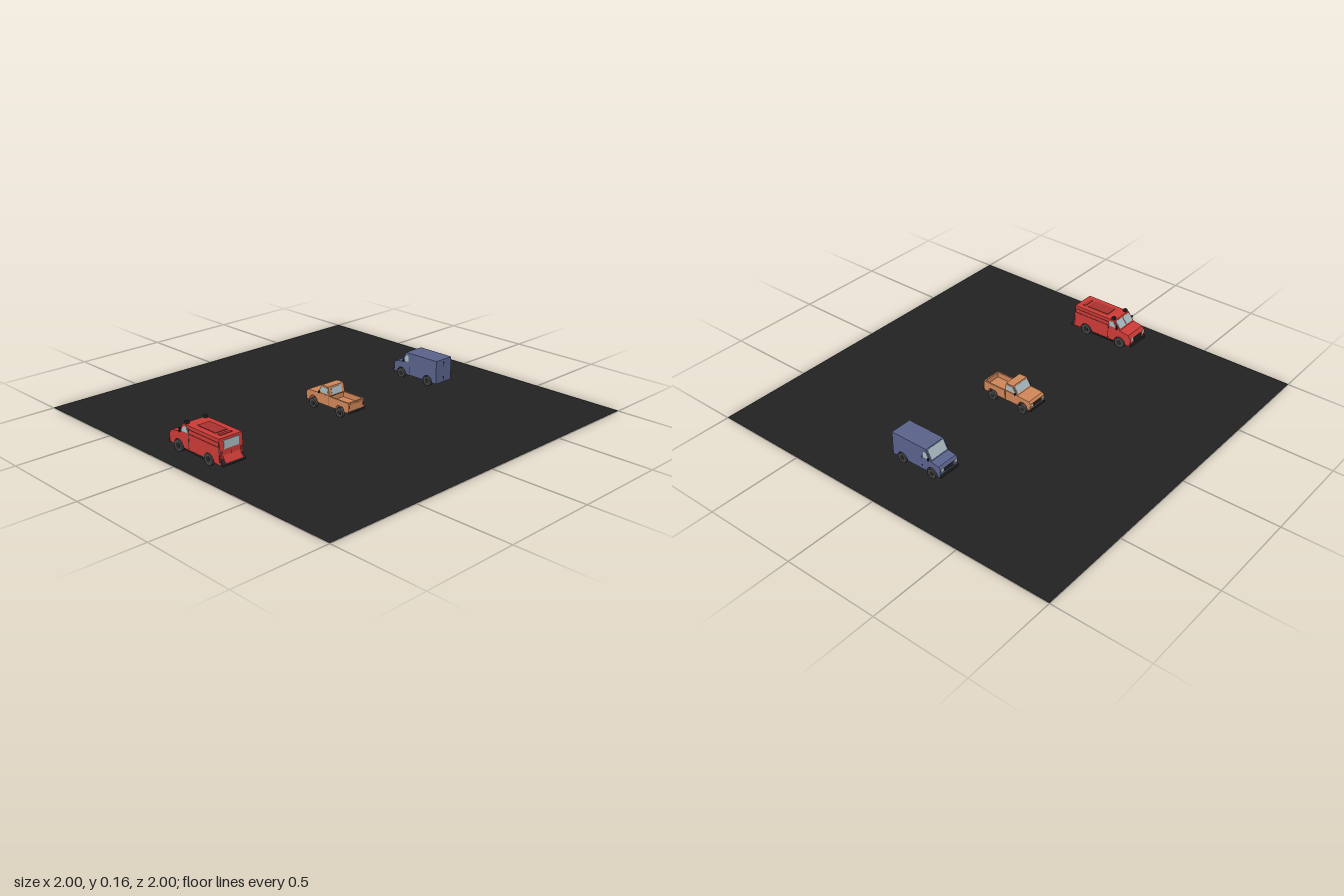
import * as THREE from 'three';

const mat = (name, color, side = THREE.FrontSide) => {
  const m = new THREE.MeshStandardMaterial({ color, side });
  m.name = name;
  return m;
};

export function createModel() {
  const M = {
    ground: mat('asphalt', 0x222222, THREE.DoubleSide),
    red: mat('van red', 0xcb3a36),
    darkRed: mat('dark red', 0xa8322f),
    orange: mat('pickup orange', 0xcf8658),
    darkOrange: mat('dark orange', 0x8f5a3b),
    blue: mat('van blue', 0x59628b),
    glass: mat('glass', 0xa9bcc2, THREE.DoubleSide),
    trim: mat('black trim', 0x262628),
    tyre: mat('tyre', 0x444444),
    lamp: mat('headlight', 0xd8d8d0),
  };
  const model = new THREE.Group();
  model.name = 'parkedVehicles';

  const add = (parent, name, geo, material, x = 0, y = 0, z = 0) => {
    const m = new THREE.Mesh(geo, material);
    m.name = name;
    m.position.set(x, y, z);
    parent.add(m);
    return m;
  };
  const box = (p, name, material, w, h, d, x, y, z) =>
    add(p, name, new THREE.BoxGeometry(w, h, d), material, x, y, z);

  // Side profile extruded across the vehicle
  const extrude = (p, name, material, pts, width, z = 0, arches = []) => {
    const s = new THREE.Shape();
    s.moveTo(...pts[0]);
    pts.slice(1).forEach(q => s.lineTo(...q));
    // wheel arches cut along the lower edge, which runs from rear to front
    arches.forEach(([x, y, r]) => {
      s.lineTo(x + r, y);
      s.absarc(x, y, r, 0, Math.PI, false);
    });
    s.closePath();
    const g = new THREE.ExtrudeGeometry(s, { depth: width, bevelEnabled: false, curveSegments: 8 });
    g.translate(0, 0, -width / 2);
    return add(p, name, g, material, 0, 0, z);
  };

  // Thin pane lying on the slope from a to b
  const pane = (p, name, a, b, width, z = 0) => {
    const dx = b[0] - a[0], dy = b[1] - a[1];
    const m = box(p, name, M.glass, Math.hypot(dx, dy), 0.003, width,
      (a[0] + b[0]) / 2, (a[1] + b[1]) / 2, z);
    m.rotation.z = Math.atan2(dy, dx);
  };

  const wheels = (p, xs, r, half) => {
    for (const x of xs) {
      box(p, 'axle', M.trim, 0.01, 0.01, half * 1.8, x, r, 0);
      for (const s of [-1, 1]) {
        const tyre = new THREE.CylinderGeometry(r, r, 0.018, 14).rotateX(Math.PI / 2);
        add(p, 'wheel', tyre, M.tyre, x, r, s * (half - 0.009));
        const hub = new THREE.CylinderGeometry(r * 0.5, r * 0.5, 0.002, 10).rotateX(Math.PI / 2);
        add(p, 'hubcap', hub, M.trim, x, r, s * half);
      }
    }
  };

  const vehicle = (name, z) => {
    const g = new THREE.Group();
    g.name = name;
    g.position.z = z;
    model.add(g);
    return g;
  };

  add(model, 'ground', new THREE.PlaneGeometry(2, 2).rotateX(-Math.PI / 2), M.ground, 0, 0.002, 0);

  // Red rescue van
  const red = vehicle('redVan', 0.81);
  extrude(red, 'body', M.red, [
    [-0.19, 0.03], [-0.195, 0.07], [-0.178, 0.092], [-0.122, 0.102], [-0.085, 0.149],
    [0.172, 0.149], [0.176, 0.1], [0.176, 0.022],
  ], 0.132, 0, [[0.095, 0.024, 0.036], [-0.125, 0.026, 0.036]]);
  box(red, 'underbody', M.trim, 0.32, 0.02, 0.09, -0.01, 0.035, 0);
  wheels(red, [-0.125, 0.095], 0.03, 0.071);
  box(red, 'roofPanel', M.darkRed, 0.13, 0.004, 0.07, 0.045, 0.15, 0);
  box(red, 'roofHatch', M.darkRed, 0.018, 0.004, 0.07, 0.135, 0.15, 0);
  box(red, 'grille', M.trim, 0.005, 0.026, 0.06, -0.195, 0.06, 0);
  box(red, 'frontBumper', M.trim, 0.012, 0.014, 0.134, -0.194, 0.034, 0);
  box(red, 'rearWindow', M.glass, 0.004, 0.042, 0.086, 0.175, 0.117, 0);
  box(red, 'doorSeam', M.trim, 0.002, 0.05, 0.002, 0.177, 0.06, 0);
  extrude(red, 'rearStep', M.trim, [[0.175, 0.055], [0.175, 0.022], [0.196, 0.022], [0.196, 0.03]], 0.13);
  extrude(red, 'rearStepPanel', M.red, [[0.175, 0.07], [0.175, 0.036], [0.194, 0.036]], 0.1);
  for (const s of [-1, 1]) {
    pane(red, 'windshield', [-0.118, 0.108], [-0.09, 0.144], 0.056, s * 0.031);
    extrude(red, 'sideWindow', M.glass, [[-0.101, 0.11], [-0.057, 0.11], [-0.057, 0.14], [-0.08, 0.14]],
      0.003, s * 0.066);
    box(red, 'headlight', M.lamp, 0.016, 0.018, 0.018, -0.188, 0.068, s * 0.052);
    box(red, 'roofLight', M.trim, 0.017, 0.014, 0.017, -0.073, 0.156, s * 0.053);
    box(red, 'tailLight', M.darkRed, 0.004, 0.02, 0.012, 0.177, 0.075, s * 0.057);
    box(red, 'mirror', M.trim, 0.006, 0.02, 0.012, -0.105, 0.115, s * 0.071);
    for (const y of [0.108, 0.13])
      box(red, 'sideRail', M.darkRed, 0.215, 0.003, 0.003, 0.062, y, s * 0.0665);
    for (const x of [-0.048, 0.17])
      box(red, 'sideSeam', M.trim, 0.002, 0.1, 0.002, x, 0.085, s * 0.066);
    box(red, 'sill', M.trim, 0.14, 0.008, 0.004, -0.013, 0.024, s * 0.066);
  }

  // Orange pickup with an open bed
  const orange = vehicle('orangePickup', 0);
  extrude(orange, 'body', M.orange, [
    [-0.148, 0.035], [-0.15, 0.075], [-0.14, 0.086], [-0.066, 0.09], [0.012, 0.09],
    [0.012, 0.06], [0.148, 0.06], [0.148, 0.035],
  ], 0.11, 0, [[0.09, 0.035, 0.029], [-0.1, 0.035, 0.029]]);
  extrude(orange, 'cab', M.orange, [
    [-0.068, 0.088], [-0.04, 0.135], [0.005, 0.135], [0.015, 0.088],
  ], 0.106);
  pane(orange, 'windshield', [-0.064, 0.096], [-0.043, 0.131], 0.096);
  pane(orange, 'rearWindow', [0.014, 0.092], [0.007, 0.128], 0.07);
  box(orange, 'cabGap', M.darkOrange, 0.008, 0.003, 0.104, 0.014, 0.088, 0);
  box(orange, 'tailgate', M.orange, 0.008, 0.035, 0.11, 0.145, 0.07, 0);
  box(orange, 'tailgateSeam', M.darkOrange, 0.002, 0.003, 0.1, 0.149, 0.08, 0);
  box(orange, 'rearBumper', M.trim, 0.006, 0.01, 0.112, 0.149, 0.037, 0);
  box(orange, 'frontBumper', M.trim, 0.008, 0.012, 0.112, -0.15, 0.038, 0);
  box(orange, 'grille', M.trim, 0.004, 0.02, 0.06, -0.15, 0.062, 0);
  box(orange, 'underbody', M.trim, 0.27, 0.012, 0.08, 0, 0.034, 0);
  wheels(orange, [-0.1, 0.09], 0.025, 0.06);
  for (const s of [-1, 1]) {
    box(orange, 'bedSide', M.orange, 0.134, 0.03, 0.008, 0.081, 0.073, s * 0.051);
    extrude(orange, 'sideWindow', M.glass, [[-0.056, 0.097], [-0.037, 0.128], [0, 0.128], [0.005, 0.097]],
      0.003, s * 0.053);
    box(orange, 'headlight', M.lamp, 0.005, 0.016, 0.016, -0.15, 0.064, s * 0.044);
    box(orange, 'tailLight', M.darkRed, 0.003, 0.016, 0.008, 0.149, 0.065, s * 0.049);
    box(orange, 'doorSeam', M.darkOrange, 0.002, 0.05, 0.002, 0.01, 0.064, s * 0.055);
    box(orange, 'mirror', M.trim, 0.006, 0.01, 0.01, -0.055, 0.096, s * 0.058);
  }

  // Blue delivery van
  const blue = vehicle('blueVan', -0.65);
  extrude(blue, 'body', M.blue, [
    [-0.145, 0.025], [-0.148, 0.07], [-0.138, 0.084], [-0.092, 0.092], [-0.064, 0.148],
    [0.15, 0.148], [0.15, 0.022],
  ], 0.118, 0, [[0.09, 0.024, 0.032], [-0.095, 0.025, 0.032]]);
  pane(blue, 'windshield', [-0.089, 0.098], [-0.066, 0.144], 0.104);
  box(blue, 'underbody', M.trim, 0.26, 0.015, 0.08, 0, 0.032, 0);
  box(blue, 'frontBumper', M.trim, 0.008, 0.014, 0.12, -0.149, 0.032, 0);
  box(blue, 'grille', M.trim, 0.004, 0.02, 0.06, -0.148, 0.06, 0);
  box(blue, 'rearDoorSeam', M.trim, 0.001, 0.11, 0.001, 0.15, 0.085, 0);
  wheels(blue, [-0.095, 0.09], 0.026, 0.063);
  for (const s of [-1, 1]) {
    extrude(blue, 'sideWindow', M.glass, [[-0.08, 0.098], [-0.045, 0.098], [-0.045, 0.132], [-0.062, 0.132]],
      0.003, s * 0.059);
    box(blue, 'headlight', M.lamp, 0.005, 0.016, 0.016, -0.148, 0.063, s * 0.046);
    box(blue, 'mirror', M.trim, 0.006, 0.014, 0.008, -0.078, 0.1, s * 0.062);
    box(blue, 'doorSeam', M.trim, 0.001, 0.09, 0.001, -0.035, 0.085, s * 0.059);
  }

  return model;
}
